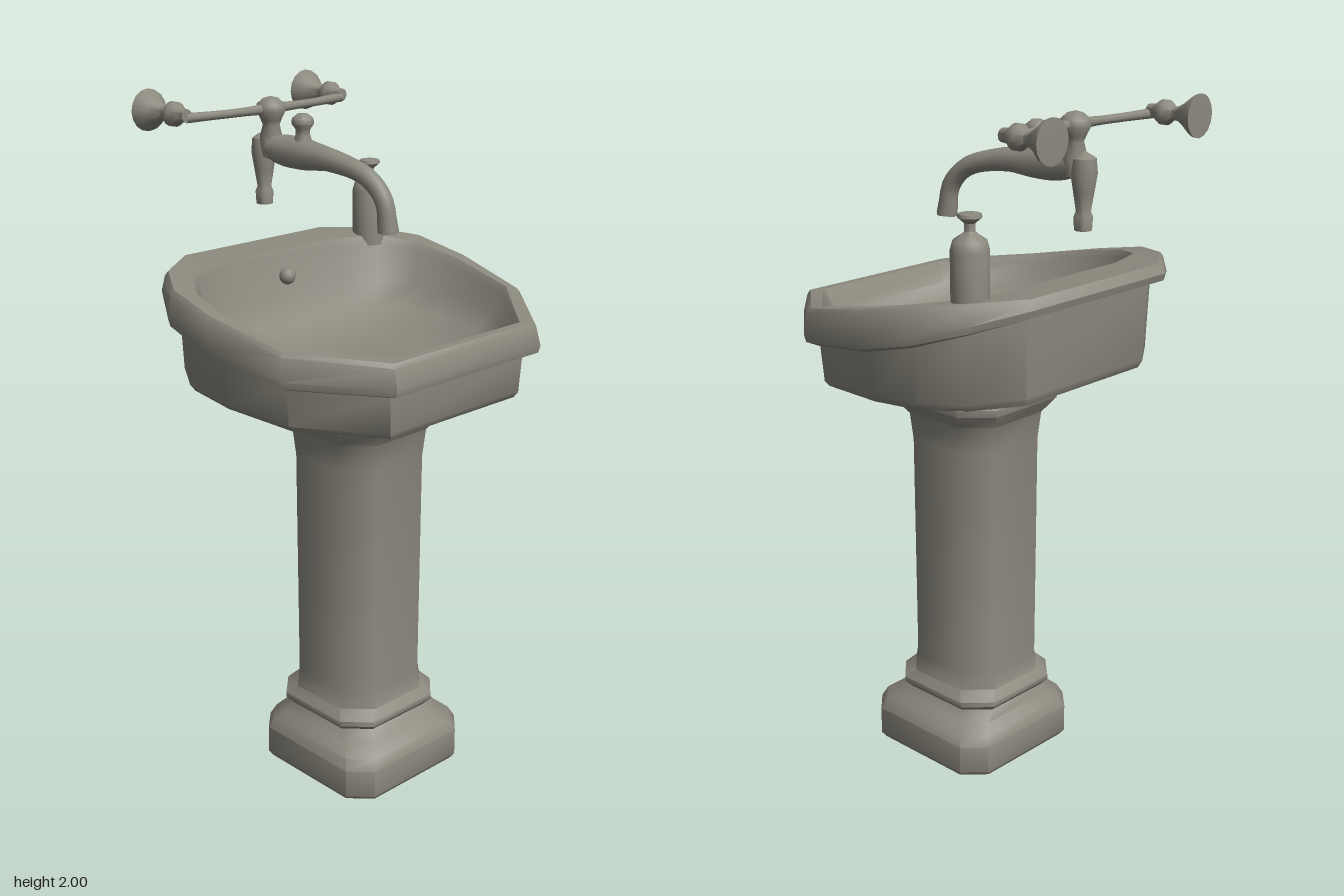
import * as THREE from 'three';
import { toCreasedNormals } from 'three/addons/utils/BufferGeometryUtils.js';

const ceramic = new THREE.MeshStandardMaterial({ color: 0x8c897e });
ceramic.name = 'grey ceramic';

function add(group, name, geometry, x = 0, y = 0, z = 0) {
  const mesh = new THREE.Mesh(geometry, ceramic);
  mesh.name = name;
  mesh.position.set(x, y, z);
  group.add(mesh);
  return mesh;
}

// Skin a stack of equal-length rings and close both ends
function loft(rings, crease) {
  const n = rings[0].length, pos = [], idx = [];
  rings.forEach(r => r.forEach(p => pos.push(...p)));
  for (let i = 0; i < rings.length - 1; i++) {
    for (let j = 0; j < n; j++) {
      const k = (j + 1) % n, a = i * n, b = a + n;
      idx.push(a + j, a + k, b + k, a + j, b + k, b + j);
    }
  }
  [rings[0], rings[rings.length - 1]].forEach((ring, end) => {
    const c = pos.length / 3, base = end ? (rings.length - 1) * n : 0;
    pos.push(...[0, 1, 2].map(a => ring.reduce((s, p) => s + p[a], 0) / n));
    for (let j = 0; j < n; j++) {
      const k = (j + 1) % n;
      if (end) idx.push(c, base + j, base + k);
      else idx.push(c, base + k, base + j);
    }
  });
  const g = new THREE.BufferGeometry();
  g.setAttribute('position', new THREE.Float32BufferAttribute(pos, 3));
  g.setIndex(idx);
  return toCreasedNormals(g, crease);
}

// Square ring with cut corners
function cutSquare(h, cut, y, cz) {
  const e = h - cut;
  return [[e, h], [h, e], [h, -e], [e, -h], [-e, -h], [-h, -e], [-h, e], [-e, h]]
    .map(([x, z]) => [x, y, z + cz]);
}

const lathe = (profile, sides = 16) =>
  toCreasedNormals(new THREE.LatheGeometry(profile.map(p => new THREE.Vector2(...p)), sides), 0.8);

// Tube whose radius follows a list of values along its length
function taperedTube(points, radii, segments = 28, sides = 12) {
  const curve = new THREE.CatmullRomCurve3(points.map(p => new THREE.Vector3(...p)));
  const g = new THREE.TubeGeometry(curve, segments, 1, sides);
  const pos = g.attributes.position, v = new THREE.Vector3();
  for (let i = 0; i < pos.count; i++) {
    const u = Math.floor(i / (sides + 1)) / segments;
    const f = u * (radii.length - 1), k = Math.min(Math.floor(f), radii.length - 2);
    const r = THREE.MathUtils.lerp(radii[k], radii[k + 1], f - k);
    const c = curve.getPointAt(u);
    v.fromBufferAttribute(pos, i).sub(c).multiplyScalar(r).add(c);
    pos.setXYZ(i, v.x, v.y, v.z);
  }
  return g;
}

function buildBasin(group) {
  // Right half outlines, front to back
  const outer = [[0.28, 0.475], [0.47, 0.25], [0.505, 0], [0.49, -0.18], [0.41, -0.31], [0.27, -0.41]];
  const inner = [[0.24, 0.435], [0.43, 0.22], [0.45, 0], [0.43, -0.13], [0.36, -0.23], [0.22, -0.28]];
  const back = z => THREE.MathUtils.clamp((0.475 - z) / 0.885, 0, 1);
  const rimY = z => 1.41 + 0.125 * THREE.MathUtils.smoothstep(back(z), 0, 1);
  const lipY = z => 1.325 + 0.165 * back(z) ** 2;
  const ring = (half, sx, sz, cz, yOf) => {
    const right = half.map(([x, z]) => [x * sx, yOf(z), cz + (z - cz) * sz]);
    return [...right, ...right.map(([x, y, z]) => [-x, y, z]).reverse()];
  };
  add(group, 'basin', loft([
    ring(outer, 0.5, 0.5, 0.05, () => 1.185),
    ring(outer, 0.87, 0.88, 0.03, z => 1.19 + 0.045 * back(z)),
    ring(outer, 0.9, 0.9, 0.03, z => 1.205 + 0.05 * back(z)),
    ring(outer, 0.92, 0.91, 0.03, z => lipY(z) - 0.015),
    ring(outer, 0.99, 1, 0, lipY),
    ring(outer, 1, 1.01, 0, z => lipY(z) + 0.02),
    ring(outer, 0.985, 0.98, 0, z => rimY(z) - 0.012),
    ring(outer, 0.965, 0.965, 0, rimY),
    ring(inner, 1, 1, 0, rimY),
    ring(inner, 0.97, 0.975, 0.05, z => rimY(z) - 0.02),
    ring(inner, 0.91, 0.91, 0.06, z => 1.35 + 0.05 * back(z)),
    ring(inner, 0.8, 0.8, 0.08, z => 1.305 + 0.025 * back(z)),
    ring(inner, 0.45, 0.45, 0.08, () => 1.285),
  ], 0.75));
  add(group, 'overflowKnob', new THREE.SphereGeometry(0.025, 12, 8), 0, 1.455, -0.25);
}

function buildPedestal(group) {
  // [half width, corner cut, height, centre z]
  const sections = [
    [0.222, 0.06, 0, 0.07], [0.232, 0.06, 0.015, 0.07], [0.232, 0.06, 0.1, 0.07],
    [0.218, 0.06, 0.13, 0.07], [0.19, 0.06, 0.155, 0.063], [0.172, 0.065, 0.185, 0.055],
    [0.19, 0.07, 0.205, 0.055], [0.19, 0.07, 0.22, 0.055], [0.168, 0.075, 0.245, 0.055],
    [0.163, 0.075, 0.3, 0.055], [0.165, 0.075, 1.0, 0.055], [0.172, 0.075, 1.08, 0.055],
    [0.205, 0.08, 1.125, 0.055], [0.205, 0.08, 1.145, 0.055], [0.182, 0.075, 1.16, 0.055],
    [0.2, 0.08, 1.18, 0.055], [0.25, 0.09, 1.2, 0.055],
  ];
  add(group, 'pedestal', loft(sections.map(s => cutSquare(...s)), 0.8));
}

function buildFaucet(group) {
  const faucet = new THREE.Group();
  faucet.name = 'faucet';
  group.add(faucet);

  add(faucet, 'spout', taperedTube(
    [[-0.01, 1.83, -0.35], [-0.01, 1.825, -0.27], [-0.006, 1.822, -0.16], [0.005, 1.815, -0.05],
      [0.022, 1.785, 0.06], [0.03, 1.73, 0.115], [0.032, 1.645, 0.132]],
    [0.001, 0.03, 0.042, 0.047, 0.046, 0.04, 0.034, 0.031, 0.028, 0.027, 0.026, 0.026, 0.026, 0.03]));
  add(faucet, 'spoutEnd', new THREE.CylinderGeometry(0.029, 0.029, 0.012, 12), 0.032, 1.648, 0.132);

  // Upright body with a ball top, and the inlet below it
  add(faucet, 'body', lathe([[0, -0.14], [0.028, -0.13], [0.034, -0.08], [0.024, -0.04],
    [0.03, -0.025], [0.043, 0], [0.04, 0.018], [0.022, 0.034], [0, 0.04]]), -0.01, 1.93, -0.3);
  add(faucet, 'inlet', lathe([[0, 0], [0.024, 0], [0.026, 0.035], [0.02, 0.05],
    [0.028, 0.1], [0.036, 0.15], [0.032, 0.19], [0, 0.21]]), -0.012, 1.66, -0.332);
  add(faucet, 'diverterKnob', lathe([[0, -0.02], [0.03, -0.02], [0.02, 0.01], [0.021, 0.025],
    [0.032, 0.04], [0.03, 0.055], [0.015, 0.067], [0, 0.068]]), -0.006, 1.867, -0.17);

  for (const side of [-1, 1]) {
    const x = side > 0 ? 0.285 : -0.297;
    add(faucet, 'crossbar', taperedTube(
      [[-0.01, 1.935, -0.3], [x * 0.5, 1.934, -0.308], [x, 1.935, -0.325]],
      [0.016, 0.012, 0.012, 0.014], 10, 8));
    // Valve bulb flaring to the wall flange
    const valve = add(faucet, 'wallFitting', lathe([[0, -0.01], [0.018, -0.008], [0.02, 0.015], [0.034, 0.035],
      [0.034, 0.055], [0.018, 0.075], [0.02, 0.09], [0.035, 0.115], [0.056, 0.143],
      [0.059, 0.155], [0, 0.157]]), x, 1.942, -0.326);
    valve.rotation.set(-Math.PI / 2, 0, 0);
    valve.rotation.z = side < 0 ? 0.06 : 0;
  }
}

export function createModel() {
  const model = new THREE.Group();
  model.name = 'pedestalSink';
  buildPedestal(model);
  buildBasin(model);
  buildFaucet(model);
  // Bottle standing on the rear left rim
  add(model, 'soapDispenser', lathe([[0, 0], [0.05, 0], [0.051, 0.16], [0.044, 0.185], [0.022, 0.2],
    [0.014, 0.208], [0.014, 0.228], [0.032, 0.243], [0.03, 0.252], [0, 0.258]]), 0.35, 1.497, -0.267);
  return model;
}
